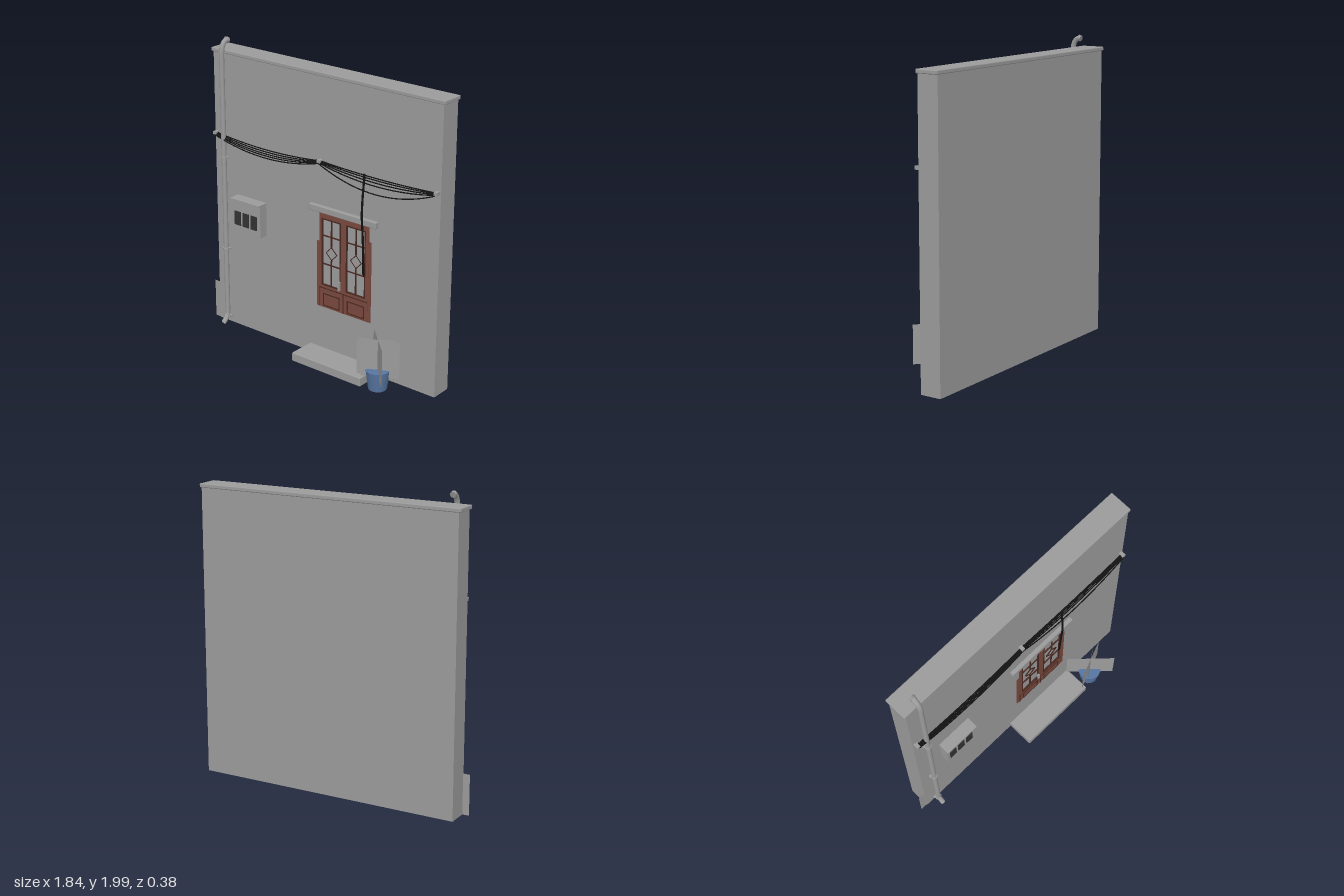
import * as THREE from 'three';
import { RoundedBoxGeometry } from 'three/addons/geometries/RoundedBoxGeometry.js';

const mat = (name, color, side = THREE.FrontSide) => {
  const m = new THREE.MeshStandardMaterial({ color, side });
  m.name = name;
  return m;
};

export function createModel() {
  const model = new THREE.Group();
  model.name = 'houseFront';
  const grey = mat('plasterGrey', 0x9c9c9c);
  const sheet = mat('sheetGrey', 0x9c9c9c, THREE.DoubleSide);
  const brown = mat('doorBrown', 0x7a4a3e);
  const darkBrown = mat('trimBrown', 0x4a2a22);
  const blue = mat('bucketBlue', 0x5776a2);
  const dark = mat('meterDark', 0x333333);
  const black = mat('cableBlack', 0x141414);

  const add = (name, geo, material, parent = model) => {
    const m = new THREE.Mesh(geo, material);
    m.name = name;
    parent.add(m);
    return m;
  };
  const group = (name) => {
    const g = new THREE.Group();
    g.name = name;
    model.add(g);
    return g;
  };
  // Box given by its limits; a bevel softens the edges
  const box = (name, x0, x1, y0, y1, z0, z1, material, parent, bevel = 0) => {
    const size = [x1 - x0, y1 - y0, z1 - z0];
    const geo = bevel ? new RoundedBoxGeometry(...size, 1, bevel) : new THREE.BoxGeometry(...size);
    const m = add(name, geo, material, parent);
    m.position.set((x0 + x1) / 2, (y0 + y1) / 2, (z0 + z1) / 2);
    return m;
  };
  const V = (x, y, z) => new THREE.Vector3(x, y, z);

  // Wall, hollow and open underneath
  const wall = box('wall', -0.88, 0.905, 0.015, 1.905, -0.187, -0.045, sheet);
  wall.geometry.setIndex([...wall.geometry.index.array].filter((_, i) => i < 18 || i >= 24));
  wall.geometry.clearGroups();
  box('cornice', -0.895, 0.918, 1.9, 1.926, -0.193, -0.038, grey, model, 0.006);
  const patch = add('wallPatch', new THREE.PlaneGeometry(0.1, 0.265), sheet);
  patch.position.set(-0.875, 0.1475, -0.05);

  // Entrance step and lintel
  box('step', -0.085, 0.47, 0.015, 0.075, -0.05, 0.14, grey, model, 0.006);
  box('lintel', -0.075, 0.455, 1.023, 1.065, -0.055, -0.018, grey, model, 0.005);

  // Door: jambs, two glazed leaves and the part sunk behind the wall face
  const door = group('door');
  box('leftJamb', -0.022, 0, 0.37, 0.82, -0.05, -0.04, brown, door);
  box('rightJamb', 0.388, 0.407, 0.37, 0.915, -0.05, -0.04, brown, door);
  box('sunkenFrame', -0.022, 0.407, 0.07, 0.37, -0.07, -0.05, brown, door);
  for (const x0 of [0, 0.194]) {
    const x1 = x0 + 0.194, px0 = x0 + 0.024, px1 = x0 + 0.168, cx = x0 + 0.096;
    const shape = new THREE.Shape([[x0, 0.37], [x1, 0.37], [x1, 1.025], [x0, 1.025]].map(p => new THREE.Vector2(...p)));
    shape.holes.push(new THREE.Path([[px0, 0.53], [px0, 0.98], [px1, 0.98], [px1, 0.53]].map(p => new THREE.Vector2(...p))));
    const leaf = add('doorLeaf', new THREE.ExtrudeGeometry(shape, { depth: 0.012, bevelEnabled: false }), brown, door);
    leaf.position.z = -0.05;
    const bar = (name, a, b, c, d) => box(name, a, b, c, d, -0.044, -0.035, darkBrown, door);
    // Rectangular outline of thin strips
    const outline = (name, a, b, c, d, t) => {
      bar(name, a, b, c, c + t);
      bar(name, a, b, d - t, d);
      bar(name, a, a + t, c, d);
      bar(name, b - t, b, c, d);
    };
    outline('paneTrim', px0 - 0.004, px1 + 0.004, 0.526, 0.984, 0.008);
    outline('lowerPanelTrim', x0 + 0.03, x0 + 0.166, 0.382, 0.47, 0.007);
    bar('railLine', x0 + 0.004, x0 + 0.19, 0.502, 0.508);
    bar('meetingStile', x0 - 0.002, x0 + 0.002, 0.37, 0.508);
    // Muntins around a diamond
    bar('muntin', cx - 0.003, cx + 0.003, 0.53, 0.71);
    bar('muntin', cx - 0.003, cx + 0.003, 0.8, 0.98);
    for (const y of [0.675, 0.868]) bar('muntin', px0, px1, y - 0.003, y + 0.003);
    const diamond = add('diamond', new THREE.TorusGeometry(0.043, 0.004, 4, 4), darkBrown, door);
    diamond.position.set(cx, 0.755, -0.04);
  }
  box('doorHandle', 0.16, 0.172, 0.525, 0.585, -0.04, -0.022, grey, door);

  // Meter cabinet with three dark windows
  const meter = group('meterCabinet');
  box('cabinet', -0.69, -0.45, 0.733, 0.952, -0.05, 0.016, grey, meter);
  box('cabinetLid', -0.694, -0.446, 0.95, 0.963, -0.05, 0.034, grey, meter);
  for (const x of [-0.642, -0.573, -0.503])
    box('meterWindow', x - 0.026, x + 0.026, 0.78, 0.875, 0.014, 0.022, dark, meter);

  // Drainpipe, bent back at the roof and forward at the ground
  const drain = group('drainpipe');
  const path = new THREE.CurvePath();
  const pts = [V(-0.79, 0.026, 0.022), V(-0.79, 0.05, -0.012), V(-0.79, 0.085, -0.022),
    V(-0.79, 1.9, -0.022), V(-0.79, 1.965, -0.032), V(-0.79, 1.985, -0.078)];
  path.add(new THREE.QuadraticBezierCurve3(pts[0], pts[1], pts[2]));
  path.add(new THREE.LineCurve3(pts[2], pts[3]));
  path.add(new THREE.QuadraticBezierCurve3(pts[3], V(-0.79, 1.982, -0.025), pts[5]));
  // Each section gets its own tube so the bends stay round
  for (const curve of path.curves)
    add('pipeSection', new THREE.TubeGeometry(curve, 6, 0.017, 10), sheet, drain);
  for (const y of [0.06, 0.56, 1.205]) {
    const collar = add('pipeCollar', new THREE.CylinderGeometry(0.022, 0.022, 0.014, 10), grey, drain);
    collar.position.set(-0.79, y, -0.022);
    box('pipeBracket', -0.815, -0.765, y - 0.006, y + 0.006, -0.05, -0.03, grey, drain);
  }
  const mouth = add('pipeMouth', new THREE.CylinderGeometry(0.02, 0.02, 0.02, 10), grey, drain);
  mouth.position.set(-0.79, 1.983, -0.073);
  mouth.rotation.x = Math.PI / 2 - 0.3;

  // Sagging cables between three wall hooks
  const cables = group('cables');
  const hooks = [-0.86, 0.01, 0.885];
  for (const x of hooks) box('cableHook', x - 0.012, x + 0.012, 1.348, 1.37, -0.05, -0.012, grey, cables);
  const sags = [[0.028, 0.037, 0.046, 0.054, 0.064], [0.014, 0.022, 0.034, 0.05, 0.098]];
  sags.forEach((list, s) => list.forEach((sag, i) => {
    const a = hooks[s], b = hooks[s + 1], z = -0.032 + i * 0.005, y = 1.362 - i * 0.003;
    const curve = new THREE.QuadraticBezierCurve3(V(a, y, z), V((a + b) / 2, y - 2 * sag, z), V(b, y, z));
    add('cable', new THREE.TubeGeometry(curve, 20, 0.004, 5), black, cables);
  }));
  [[0.352, 0.69], [0.36, 0.68]].forEach(([x, y]) => {
    const curve = new THREE.CatmullRomCurve3([V(x, 1.36, -0.03), V(x - 0.003, 1.1, -0.012), V(x, 0.95, -0.02), V(x, y, -0.032)]);
    add('dropCable', new THREE.TubeGeometry(curve, 16, 0.004, 5), black, cables);
  });

  // Bucket holding crossed upright sheets
  const pot = group('planter');
  const bucketGeo = new THREE.CylinderGeometry(0.078, 0.06, 0.13, 12);
  add('bucket', bucketGeo, blue, pot).position.set(0.561, 0.08, 0.078);
  const sheets = [[0.435, 0.13, 0.69, 0.03], [0.445, -0.03, 0.675, 0.19], [0.475, 0.14, 0.645, 0.02]];
  for (const [x0, z0, x1, z1] of sheets) {
    const p = add('plantSheet', new THREE.PlaneGeometry(Math.hypot(x1 - x0, z1 - z0), 0.25), sheet, pot);
    p.position.set((x0 + x1) / 2, 0.224, (z0 + z1) / 2);
    p.rotation.y = -Math.atan2(z1 - z0, x1 - x0);
  }
  return model;
}
